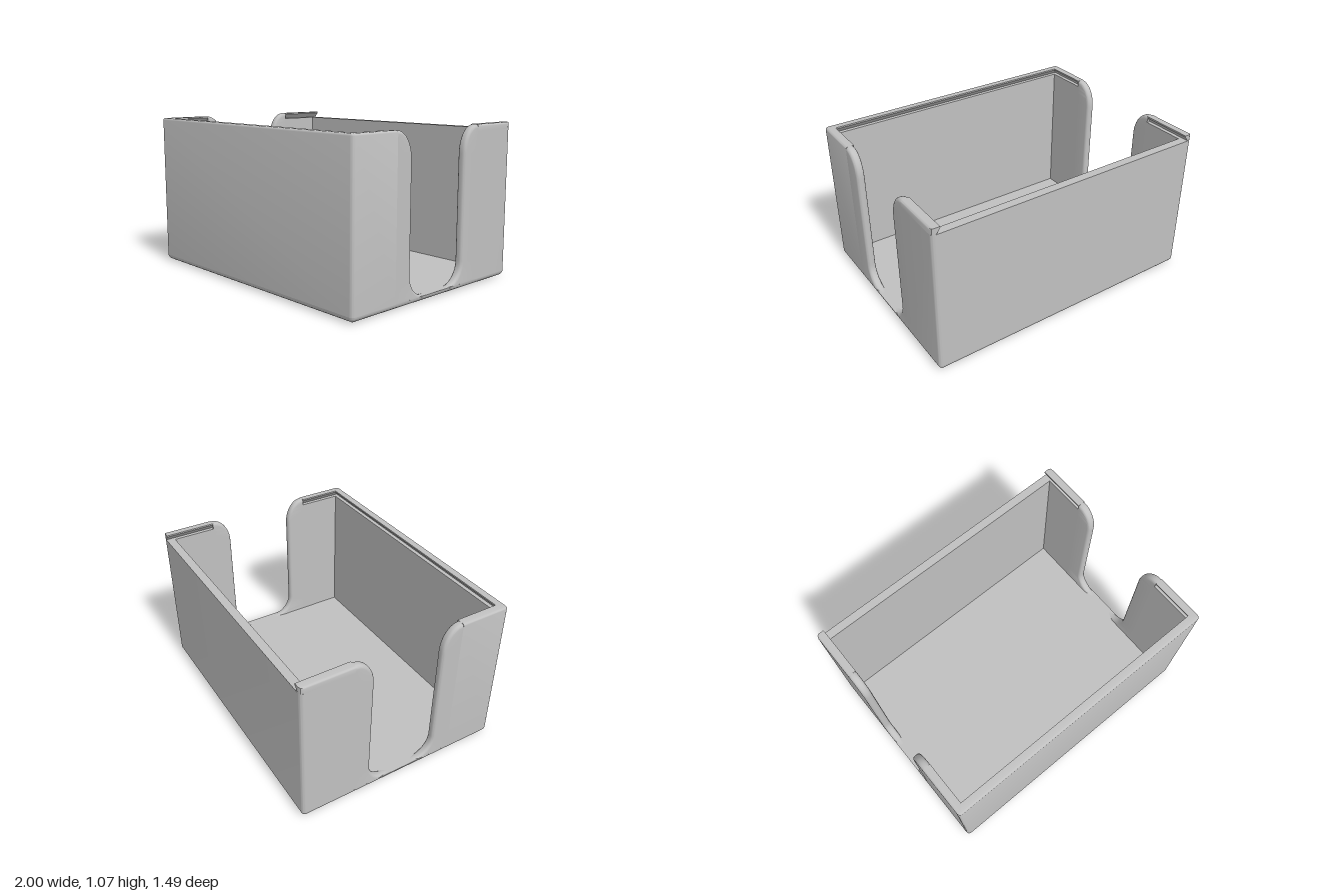
import * as THREE from 'three';
import { toCreasedNormals } from 'three/addons/utils/BufferGeometryUtils.js';

const DEPTH = 0.745, HEIGHT = 1.07, FLOOR = 0.04, WALL = 0.058;
const CORNER = 0.025, NOTCH_END = 0.385, SLOT = 1.025;

// Joins closed cross-sections (arrays of [x, y, z]) into a capped solid facing outward
function loft(sections) {
  const n = sections[0].length, last = sections.length - 1;
  const pts = sections.flat();
  const tris = [];
  for (let i = 0; i < last; i++) {
    for (let j = 0; j < n; j++) {
      const k = (j + 1) % n, a = i * n + j, b = i * n + k;
      tris.push([a, b, b + n], [a, b + n, a + n]);
    }
  }
  for (const end of [0, last]) {
    const centre = [0, 1, 2].map(c => sections[end].reduce((s, p) => s + p[c], 0) / n);
    const m = pts.push(centre) - 1;
    for (let j = 0; j < n; j++) {
      const a = end * n + j, b = end * n + (j + 1) % n;
      tris.push(end ? [m, a, b] : [m, b, a]);
    }
  }
  const v = pts.map(p => new THREE.Vector3(...p));
  const cross = new THREE.Vector3();
  const volume = tris.reduce((s, [a, b, c]) => s + v[a].dot(cross.crossVectors(v[b], v[c])), 0);
  const geometry = new THREE.BufferGeometry().setFromPoints(v);
  geometry.setIndex(tris.flatMap(([a, b, c]) => (volume > 0 ? [a, b, c] : [a, c, b])));
  return toCreasedNormals(geometry, 0.6);
}

// Rounded corner at +x, +z of the footprint, inset by d
function cornerArc(d) {
  const inset = Math.max(CORNER, d), r = Math.max(CORNER - d, 0);
  return Array.from({ length: 7 }, (_, i) => {
    const a = (i / 6) * Math.PI / 2;
    return [1 - inset + r * Math.cos(a), DEPTH - inset + r * Math.sin(a)];
  });
}

// Half of the footprint, from one side notch round to the other
function halfPath(d, start) {
  const half = [[1 - d, start], ...cornerArc(d)];
  return [...half, ...half.map(([x, z]) => [-x, z]).reverse()];
}

// Sweeps a wall profile of [inset, y] points round one end of the box
function sweepWall(profile, side) {
  const paths = profile.map(([d]) => halfPath(d, NOTCH_END));
  return loft(paths[0].map((_, i) =>
    profile.map(([, y], j) => [paths[j][i][0], y, side * paths[j][i][1]])));
}

const baseInset = y => {
  const t = THREE.MathUtils.clamp((FLOOR - y) / FLOOR, 0, 1);
  return 0.055 * (1 - Math.sqrt(1 - t * t));
};

// Floor slab with rounded underside edges
function baseGeometry() {
  const sections = [];
  for (let i = 0; i <= 8; i++) {
    const y = FLOOR * (1 - Math.sin((i / 8) * Math.PI / 2));
    const d = baseInset(y);
    const half = halfPath(d, 0);
    sections.push([...half, ...half.map(([x, z]) => [-x, -z])].map(([x, z]) => [x, y, z]));
  }
  return loft(sections);
}

// Side wall strip beside the notch, with a rounded edge along the notch curve
function notchEdgeGeometry(sx, sz) {
  const curve = [];
  for (let i = 0; i <= 12; i++) {
    const a = (i / 12 - 1) * Math.PI / 2, c = Math.cos(a), s = Math.sin(a);
    curve.push([0.1 + 0.15 * c, 0.19 + 0.15 * s, c, s]);
  }
  for (let i = 0; i <= 12; i++) {
    const a = Math.PI - (i / 12) * Math.PI / 2, c = Math.cos(a), s = Math.sin(a);
    const l = Math.hypot(c / 0.13, s / 0.18);
    curve.push([0.38 + 0.13 * c, 0.89 + 0.18 * s, -c / 0.13 / l, -s / 0.18 / l]);
  }
  curve.push([NOTCH_END, HEIGHT, 0, -1]);

  const r = 0.022, nose = [];
  for (let i = 0; i <= 5; i++) {
    const a = (i / 5) * Math.PI / 2;
    nose.push([r * (1 - Math.sin(a)), r * (1 - Math.cos(a))]);
  }
  const round = [...nose, ...nose.map(([o, d]) => [o, WALL - d]).reverse()];
  return loft(curve.map(([z, y, nz, ny]) => {
    const farY = y + ny * r;
    const edge = round.map(([o, d]) => [d, y + ny * o, z + nz * o]);
    return [[0, farY, NOTCH_END], ...edge, [WALL, farY, NOTCH_END]].map(([d, py, pz]) =>
      [sx * Math.min(1 - d, 1 - baseInset(py)), py, sz * pz]);
  }));
}

export function createModel() {
  const model = new THREE.Group();
  model.name = 'slidingLidBox';
  const grey = new THREE.MeshStandardMaterial({ color: 0xc0c0c0 });
  grey.name = 'light grey';
  const add = (name, geometry) => {
    const mesh = new THREE.Mesh(geometry, grey);
    mesh.name = name;
    model.add(mesh);
  };

  // Rounded top rim and the dovetail lid groove beneath it
  const rim = [[0, 1.056], [0.002, 1.063], [0.007, 1.068], [0.014, HEIGHT],
    [WALL, HEIGHT], [WALL, 1.06], [0.03, SLOT]];

  add('base', baseGeometry());
  add('frontWall', sweepWall([[0, FLOOR], ...rim, [WALL, SLOT], [WALL, FLOOR]], 1));

  // The back wall is lower so that the lid can slide in
  add('backWall', sweepWall([[0, FLOOR], [0, SLOT], [WALL, SLOT], [WALL, FLOOR]], -1));

  for (const sx of [1, -1]) {
    const side = sx > 0 ? 'left' : 'right';
    // Lid rail above the rear part of the side wall
    const rail = [[0, SLOT], ...rim];
    add(side + 'LidRail', loft([
      rail.map(([d, y]) => [sx * (1 - d), y, -NOTCH_END]),
      rail.map(([d, y]) => [sx * (1 - d), y, -DEPTH + CORNER]),
      rail.map(([d, y]) => [sx * (1 - Math.max(d, 0.007)), y, -DEPTH + 0.007]),
      rail.map(([d, y]) => [sx * (1 - Math.max(d, 0.02)), y, -DEPTH]),
    ]));
    for (const sz of [1, -1]) {
      add(side + (sz > 0 ? 'Front' : 'Back') + 'NotchEdge', notchEdgeGeometry(sx, sz));
    }
  }
  return model;
}
